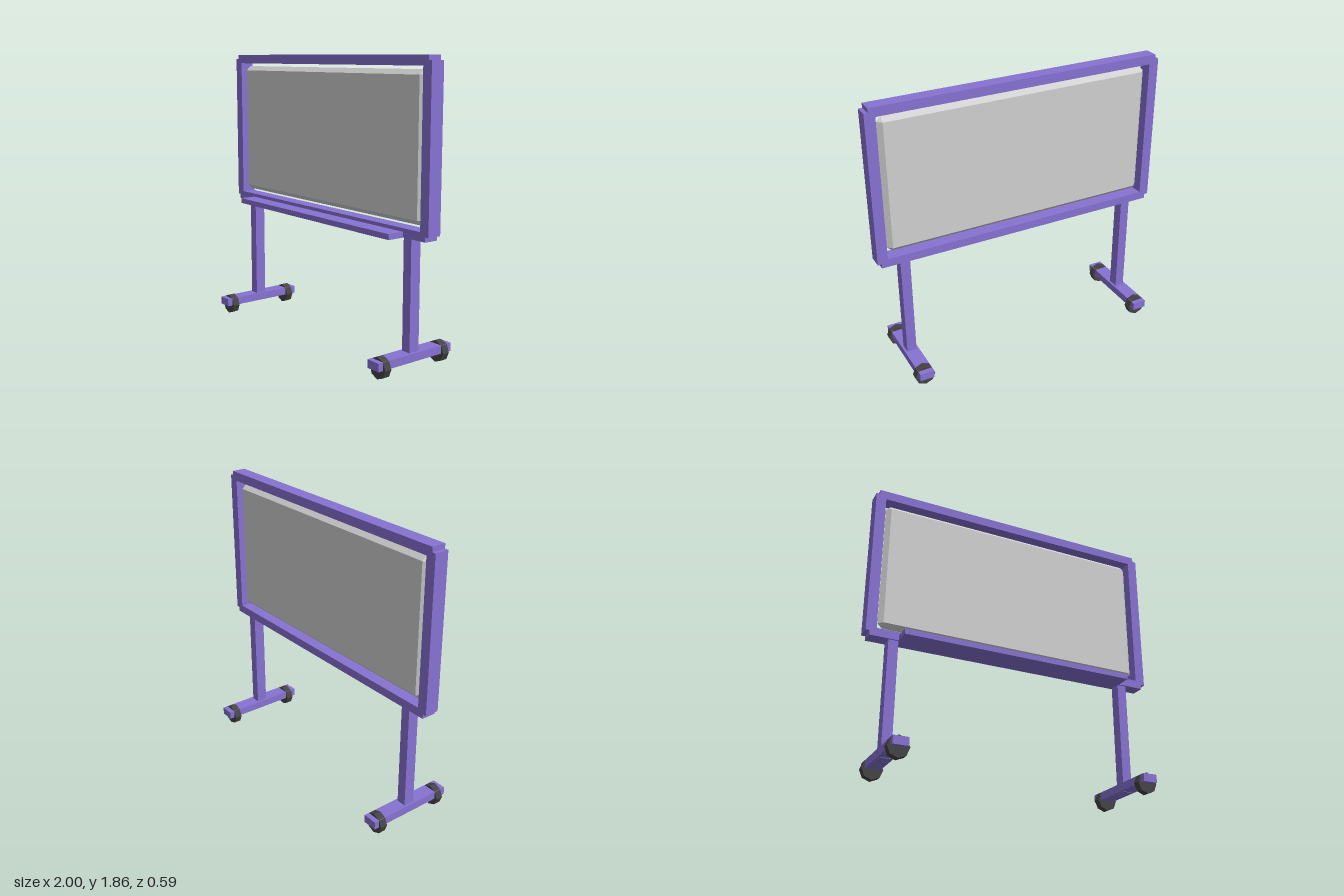
import * as THREE from 'three';
import { ConvexGeometry } from 'three/addons/geometries/ConvexGeometry.js';

function material(name, color) {
  const m = new THREE.MeshStandardMaterial({ color });
  m.name = name;
  return m;
}

export function createModel() {
  const model = new THREE.Group();
  model.name = 'rollingBoard';
  const purple = material('purple', 0x8672d2);
  const grey = material('lightGrey', 0xd0d0d0);
  const rubber = material('darkRubber', 0x444444);

  function add(name, geometry, mat, x, y, z) {
    const mesh = new THREE.Mesh(geometry, mat);
    mesh.name = name;
    mesh.position.set(x, y, z);
    model.add(mesh);
    return mesh;
  }
  // Box given by its min and max along each axis
  function box(name, [x0, x1], [y0, y1], [z0, z1]) {
    return add(name, new THREE.BoxGeometry(x1 - x0, y1 - y0, z1 - z0), purple,
      (x0 + x1) / 2, (y0 + y1) / 2, (z0 + z1) / 2);
  }

  // Frame rails: the uprights stand slightly proud of the horizontal rails
  const depth = [-0.047, 0.047];
  box('topRail', [-0.975, 0.975], [1.8, 1.86], depth);
  box('bottomRail', [-0.975, 0.975], [0.81, 0.865], depth);
  box('leftRail', [0.933, 1], [0.84, 1.83], depth);
  box('rightRail', [-1, -0.933], [0.84, 1.83], depth);

  // Chamfered writing panel floating inside the frame
  const corners = [];
  const hx = 0.918, hy = 0.445, bevel = 0.03;
  for (const sx of [-1, 1]) {
    for (const sy of [-1, 1]) {
      corners.push(
        new THREE.Vector3(sx * (hx - bevel), sy * (hy - bevel), bevel),
        new THREE.Vector3(sx * (hx - bevel), sy * (hy - bevel), -bevel),
        new THREE.Vector3(sx * hx, sy * (hy - bevel), 0),
        new THREE.Vector3(sx * (hx - bevel), sy * hy, 0));
    }
  }
  add('writingPanel', new ConvexGeometry(corners), grey, 0, 1.335, 0);

  // Pen tray on the front
  box('penTray', [-0.79, 0.79], [0.808, 0.843], [0, 0.158]);

  // Legs, feet and octagonal wheels on both sides
  const wheel = new THREE.CylinderGeometry(0.068, 0.068, 0.048, 8);
  wheel.rotateX(Math.PI / 2);
  const rubberFlat = rubber;
  rubberFlat.flatShading = true;
  for (const s of [-1, 1]) {
    const side = s > 0 ? 'left' : 'right';
    const x = s * 0.82;
    box(side + 'Leg', [x - 0.032, x + 0.032], [0.062, 0.83], [-0.037, 0.037]);
    box(side + 'Foot', [x - 0.048, x + 0.048], [0.065, 0.117], [-0.295, 0.295]);
    for (const z of [-0.236, 0.236]) {
      add(side + (z > 0 ? 'FrontWheel' : 'BackWheel'), wheel, rubberFlat, x, 0.068, z);
    }
  }
  return model;
}
